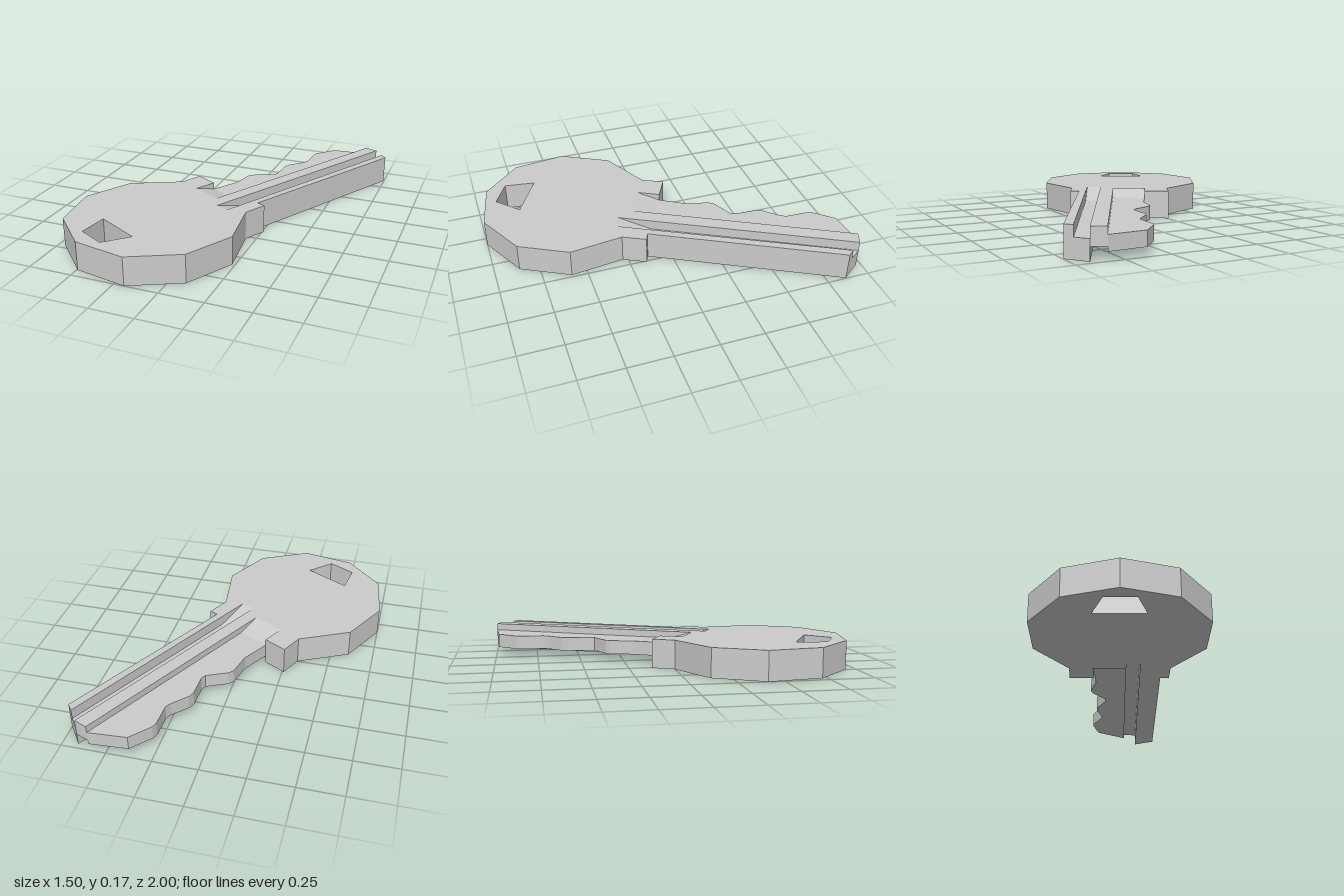
import * as THREE from 'three';

const H = 0.165;            // full key thickness
const T0 = -0.018;          // where the blade meets the shoulder
const material = new THREE.MeshStandardMaterial({ color: 0xcccccc, flatShading: true });

// blade coordinates (s across, t along towards the tip) to plan [x, z]
const P = (s, t) => [s * 0.882 + t * 0.472, s * 0.472 - t * 0.882];

// vertical slab over a plan outline, from y0 to y1
function slab(outline, y0, y1, hole) {
  const toV = ([x, z]) => new THREE.Vector2(x, -z);
  const shape = new THREE.Shape(outline.map(toV));
  if (hole) shape.holes.push(new THREE.Path(hole.map(toV)));
  const geo = new THREE.ExtrudeGeometry(shape, { depth: y1 - y0, bevelEnabled: false });
  return geo.rotateX(-Math.PI / 2).translate(0, y0, 0);
}

// run-out: reaches full thickness at t = tEnd, blade thickness at the shoulder
function rampSlab(s0, s1, tEnd, y0, y1) {
  const geo = slab([P(s0, tEnd), P(s0, T0), P(s1, T0), P(s1, tEnd)], y0, y1);
  const pos = geo.attributes.position;
  for (let i = 0; i < pos.count; i++) {
    const t = pos.getX(i) * 0.472 - pos.getZ(i) * 0.882;
    if (t < (tEnd + T0) / 2) pos.setY(i, pos.getY(i) > (y0 + y1) / 2 ? H : 0);
  }
  geo.computeVertexNormals();
  return geo;
}

export function createModel() {
  const key = new THREE.Group();
  key.name = 'key';
  const add = (name, geo) => {
    const mesh = new THREE.Mesh(geo, material);
    mesh.name = name;
    key.add(mesh);
  };

  // lines across the blade where its section steps
  const sL = -0.143, sA = 0.048, sB = 0.128, sC = 0.21, sD = 0.251;
  const tShort = -0.153, tLong = -0.216;

  // head with shoulders, key ring hole and a pocket for the run-outs
  add('head', slab([
    [-0.26, -0.12], [-0.32, 0], [-0.605, 0.14], [-0.75, 0.41], [-0.71, 0.72], [-0.495, 0.94],
    [-0.19, 1], [0.09, 0.86], [0.235, 0.59], [0.195, 0.28], [0.26, 0.155],
    P(sD, T0), P(sC, T0), P(sC, tLong), P(sA, tLong), P(sA, tShort), P(sL, tShort), P(sL, T0),
  ], 0, H, [[-0.5, 0.645], [-0.25, 0.78], [-0.375, 0.9], [-0.525, 0.82]]));

  // blade strips: thin toothed side, rib over the lower groove, upper groove, back edge
  const tipA = [0.59, -1], tipB = [0.665, -0.97], tipC = [0.715, -0.9], tipD = [0.747, -0.86];
  const teeth = [
    [-0.045, -0.2], [-0.033, -0.25], [-0.013, -0.33], [0.01, -0.355], [0.13, -0.41], [0.145, -0.44],
    [0.15, -0.57], [0.167, -0.605], [0.245, -0.685], [0.262, -0.715], [0.267, -0.85],
    [0.28, -0.88], [0.375, -0.985],
  ];
  add('toothedEdge', slab([P(sL, T0), ...teeth, tipA, P(sA, T0)], 0.045, 0.125));
  add('rib', slab([P(sA, T0), tipA, tipB, P(sB, T0)], 0.07, H));
  add('grooveFloor', slab([P(sB, T0), tipB, tipC, P(sC, T0)], 0, 0.107));
  add('backEdge', slab([P(sC, T0), tipC, tipD, P(sD, T0)], 0, H));

  // sloping run-outs of the grooves into the head
  add('toothedRunOut', rampSlab(sL, sA, tShort, 0.045, 0.125));
  add('ribRunOut', rampSlab(sA, sB, tLong, 0.07, H));
  add('grooveRunOut', rampSlab(sB, sC, tLong, 0, 0.107));

  return key;
}
